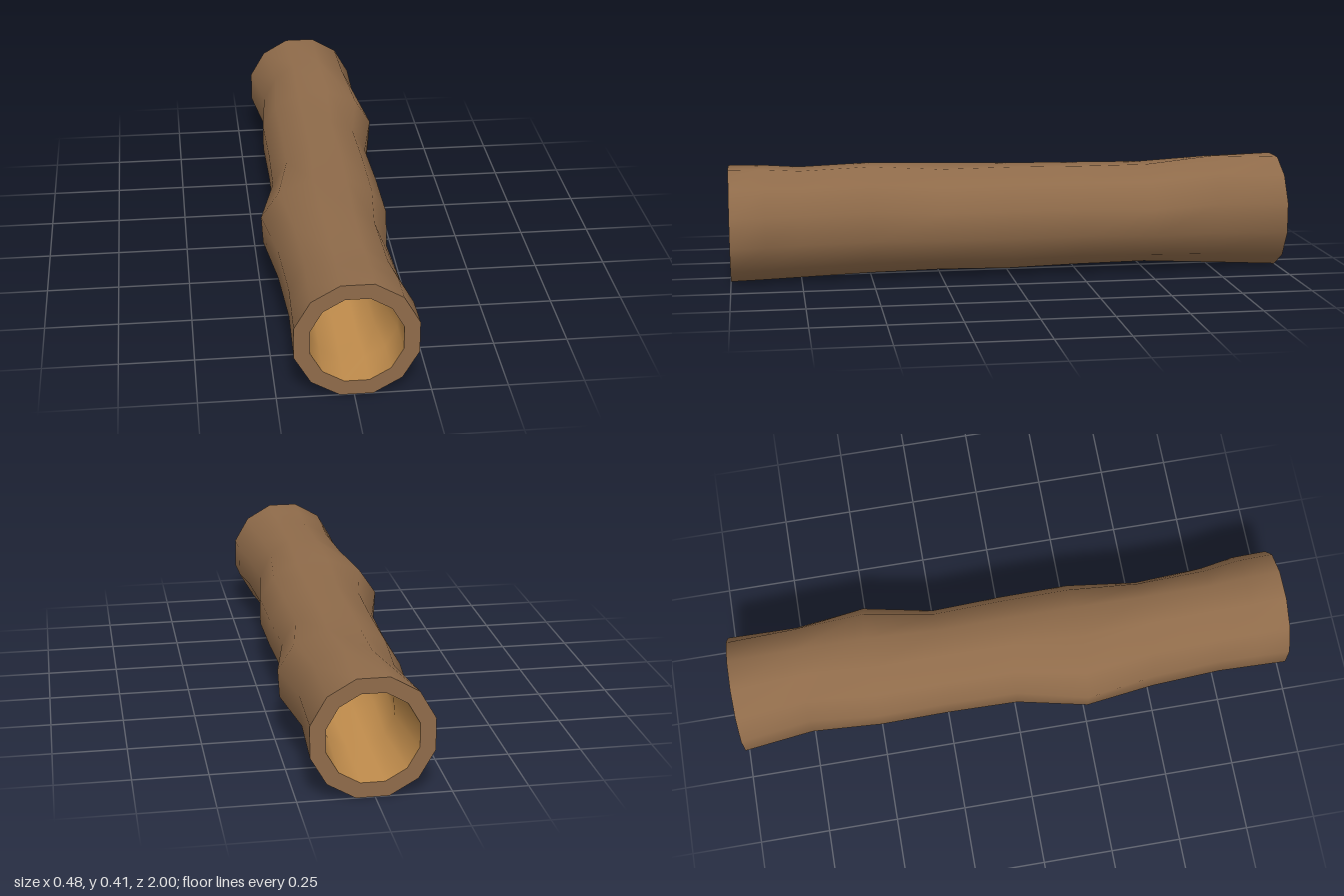
import * as THREE from 'three';

const SIDES = 12, CX = 0.008, CY = 0.201, WALL = 0.053;

// Stations along the log: z, left edge, right edge, bottom, top, upper-right swell, upper-left swell
const STATIONS = [
  [-1.0, -0.193, 0.208, 0.0, 0.402, 0, 0],
  [-0.75, -0.163, 0.195, 0.013, 0.403, 0.018, -0.012],
  [-0.5, -0.18, 0.233, 0.028, 0.382, 0.012, 0],
  [-0.25, -0.176, 0.188, 0.022, 0.385, 0, 0],
  [0.0, -0.18, 0.198, 0.016, 0.388, 0, 0],
  [0.25, -0.235, 0.201, 0.02, 0.386, 0, 0.012],
  [0.5, -0.202, 0.168, 0.014, 0.4, 0, 0],
  [0.75, -0.187, 0.183, 0.006, 0.391, 0, 0],
  [0.875, -0.19, 0.205, 0.003, 0.4, 0, 0],
  [1.0, -0.193, 0.208, 0.0, 0.402, 0, 0],
];

// One twelve-sided cross-section, its sides pushed out to the four edges
function ring([z, left, right, bottom, top, upRight, upLeft], inset) {
  const points = [];
  const reach = Math.cos(Math.PI / SIDES);
  for (let j = 0; j < SIDES; j++) {
    const a = ((j + 0.5) / SIDES) * Math.PI * 2;
    const c = Math.cos(a), s = Math.sin(a);
    const rx = (c > 0 ? right - CX : CX - left) / reach;
    const ry = (s > 0 ? top - CY : CY - bottom) / reach;
    const diagonal = s > 0 ? Math.sin(2 * a) : 0;
    const swell = diagonal > 0 ? upRight * diagonal : -upLeft * diagonal;
    points.push(new THREE.Vector3(
      CX + c * (rx + swell - inset), CY + s * (ry + swell - inset), z));
  }
  return points;
}

// Skin joining the cross-sections, facing outward or inward
function skin(inset, inward) {
  const points = STATIONS.flatMap((station) => ring(station, inset));
  const index = [];
  for (let k = 0; k < STATIONS.length - 1; k++) {
    for (let j = 0; j < SIDES; j++) {
      const a = k * SIDES + j, b = k * SIDES + ((j + 1) % SIDES);
      const c = a + SIDES, d = b + SIDES;
      if (inward) index.push(a, c, b, b, c, d);
      else index.push(a, b, c, b, d, c);
    }
  }
  const geometry = new THREE.BufferGeometry().setFromPoints(points);
  geometry.setIndex(index);
  geometry.computeVertexNormals();
  return geometry;
}

// Flat ring of cut wood closing one end
function endCut(station) {
  const flat = (inset) => ring(station, inset).map((p) => new THREE.Vector2(p.x, p.y));
  const shape = new THREE.Shape(flat(0));
  shape.holes.push(new THREE.Path(flat(WALL)));
  return new THREE.ShapeGeometry(shape);
}

export function createModel() {
  const log = new THREE.Group();
  log.name = 'hollowLog';
  const bark = new THREE.MeshStandardMaterial({ color: 0x8f6b4a });
  const cut = new THREE.MeshStandardMaterial({ color: 0x8f6b4a, side: THREE.DoubleSide });
  const wood = new THREE.MeshStandardMaterial({ color: 0xc08c4c });

  const add = (name, geometry, material, z = 0) => {
    const mesh = new THREE.Mesh(geometry, material);
    mesh.name = name;
    mesh.position.z = z;
    log.add(mesh);
  };

  add('bark', skin(0, false), bark);
  add('hollow', skin(WALL, true), wood);
  add('backEnd', endCut(STATIONS[0]), cut, -1);
  add('frontEnd', endCut(STATIONS[STATIONS.length - 1]), cut, 1);
  return log;
}
